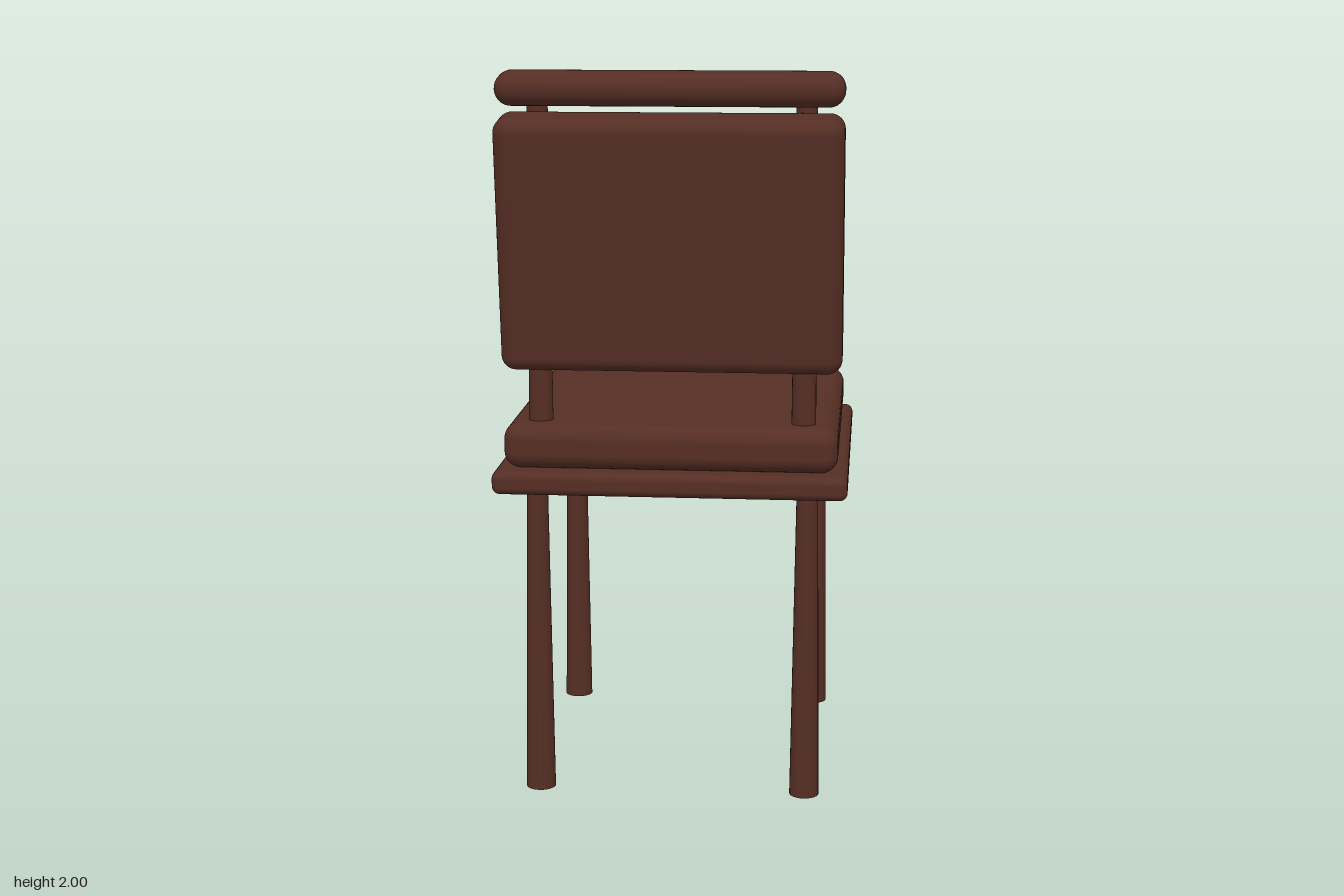
import * as THREE from 'three';
import { RoundedBoxGeometry } from 'three/addons/geometries/RoundedBoxGeometry.js';

export function createModel() {
  const chair = new THREE.Group();
  chair.name = 'chair';
  const brown = new THREE.MeshStandardMaterial({ color: 0x552e24 });
  brown.name = 'darkBrown';

  function add(name, geometry, x, y, z, tilt = 0) {
    const mesh = new THREE.Mesh(geometry, brown);
    mesh.name = name;
    mesh.position.set(x, y, z);
    mesh.rotation.x = tilt;
    chair.add(mesh);
  }
  const slab = (w, h, d, r) => new RoundedBoxGeometry(w, h, d, 5, r);
  // Tapered round bar standing between two heights
  function bar(name, rTop, rBottom, y0, y1, x, z) {
    add(name, new THREE.CylinderGeometry(rTop, rBottom, y1 - y0, 24), x, (y0 + y1) / 2, z);
  }

  // Seat frame and cushion
  add('seatFrame', slab(0.96, 0.065, 1.023, 0.022), 0, 0.898, -0.011);
  add('seatCushion', slab(0.905, 0.125, 0.965, 0.045), 0, 0.992, -0.014);

  // Backrest leans away from the seat
  const lean = 0.138;
  add('backCushion', slab(0.92, 0.69, 0.151, 0.04), 0, 1.542, 0.408, lean);
  add('topRail', slab(0.92, 0.09, 0.11, 0.044), 0, 1.953, 0.441, lean);

  // Legs and upright back posts
  for (const [side, s] of [['left', 1], ['right', -1]]) {
    bar(side + 'FrontLeg', 0.029, 0.041, 0, 0.88, s * 0.37, -0.411);
    bar(side + 'BackLeg', 0.029, 0.041, 0, 0.88, s * 0.37, 0.388);
    bar(side + 'BackPost', 0.028, 0.034, 0.92, 1.953, s * 0.358, 0.379);
  }
  return chair;
}
